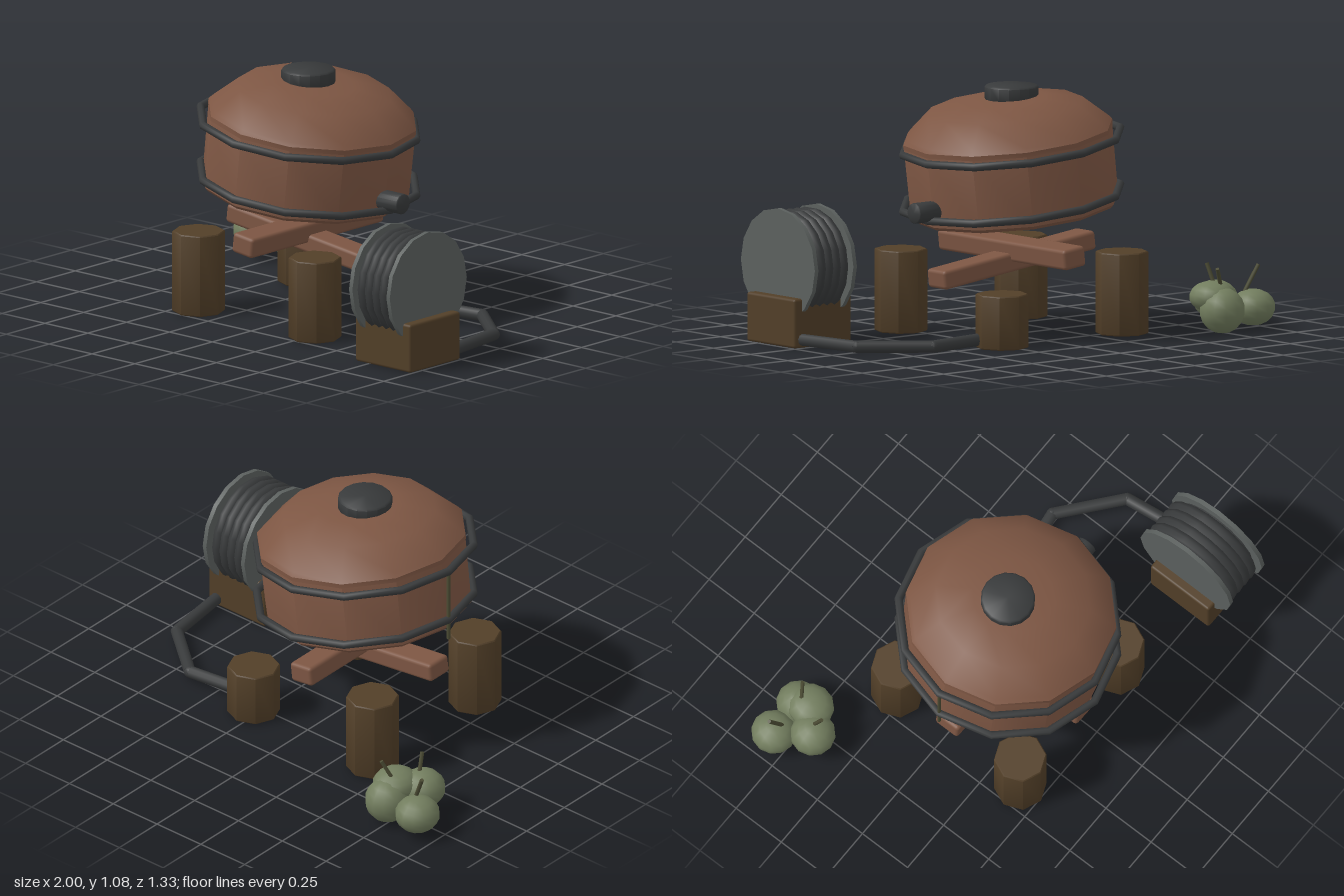
import * as THREE from 'three';
import { toCreasedNormals } from 'three/addons/utils/BufferGeometryUtils.js';
import { RoundedBoxGeometry } from 'three/addons/geometries/RoundedBoxGeometry.js';

export function createModel() {
  const model = new THREE.Group();
  const mat = (name, color) => Object.assign(new THREE.MeshStandardMaterial({ color }), { name });
  const copper = mat('copper', 0x7d5643), wood = mat('wood', 0x523f28), iron = mat('iron', 0x383a3b);
  const steel = mat('steel', 0x5c615f), green = mat('green', 0x727d5e), stem = mat('stem', 0x4c4c34);

  const tilt = -0.12, cx = -0.064, cz = 0.0575;

  function add(name, geo, material, x = 0, y = 0, z = 0, parent = model) {
    const m = new THREE.Mesh(geo, material);
    m.name = name;
    m.position.set(x, y, z);
    parent.add(m);
    return m;
  }
  // Turned solid from [radius, height] points
  const turned = (pts, sides, crease) =>
    toCreasedNormals(new THREE.LatheGeometry(pts.map(p => new THREE.Vector2(...p)), sides), crease);
  // Upright cylinder with small bevels, standing on y = 0
  const drum = (r, h, sides, b = 0.008) =>
    turned([[0, 0], [r - b, 0], [r, b], [r, h - b], [r - b, h], [0, h]], sides, 0.8);
  // Round bar between two points
  function bar(name, a, b, r, material, sides = 8) {
    const p = new THREE.Vector3(...a), q = new THREE.Vector3(...b), d = q.clone().sub(p);
    const m = add(name, new THREE.CylinderGeometry(r, r, d.length(), sides), material);
    m.position.copy(p).add(q).multiplyScalar(0.5);
    m.quaternion.setFromUnitVectors(new THREE.Vector3(0, 1, 0), d.normalize());
    return m;
  }

  // Leaning twelve-sided tank with domed lid
  const tank = new THREE.Group();
  tank.name = 'tank';
  tank.position.set(-0.083, 0.533, cz);
  tank.rotation.z = tilt;
  model.add(tank);
  add('tankBody', turned([[0, 0], [0.442, 0], [0.457, 0.015], [0.46, 0.325], [0.45, 0.34], [0, 0.34]], 12, 0.7),
    copper, 0, 0, 0, tank);
  add('tankLid', turned([[0.462, 0.325], [0.462, 0.345], [0.447, 0.362], [0.34, 0.46], [0.18, 0.493], [0, 0.503]], 12, 0.7),
    copper, 0, 0, 0, tank);

  // Hoops around the tank
  for (const y of [0.585, 0.832]) {
    const g = new THREE.TorusGeometry(0.48, 0.018, 8, 12).rotateX(Math.PI / 2);
    add('hoop', g, iron, cx, y, cz).rotation.z = tilt;
  }

  // Cap, outlet and sight rod
  add('lidCap', drum(0.118, 0.07, 16), iron, cx, 1.01, cz);
  add('outletPipe', drum(0.045, 0.14, 14, 0.004), iron, 0.35, 0.567, cz).rotation.z = -Math.PI / 2;
  bar('sightRod', [-0.54, 0.545, cz], [-0.54, 0.875, cz], 0.008, stem);

  // Stump legs, one of them cut short
  for (const sx of [-1, 1]) for (const sz of [-1, 1]) {
    const h = sx > 0 && sz < 0 ? 0.235 : 0.36;
    add('stumpLeg', drum(0.115, h, 8, 0.005), wood, -0.061 + sx * 0.339, 0, 0.055 + sz * 0.34);
  }

  // Crossed support beams
  add('longBeam', new RoundedBoxGeometry(0.86, 0.084, 0.125, 2, 0.016), copper, cx, 0.318, cz).rotation.z = tilt;
  add('crossBeam', new RoundedBoxGeometry(0.12, 0.09, 0.86, 2, 0.016), copper, cx, 0.367, cz).rotation.z = tilt;

  // Reel base, side discs and coiled hose
  const rx = 0.838, ry = 0.345, rz = 0.415;
  add('reelBase', new RoundedBoxGeometry(0.322, 0.215, 0.325, 2, 0.012), wood, rx, 0.108, rz);
  for (const s of [-1, 1]) {
    const g = toCreasedNormals(new THREE.CylinderGeometry(0.249, 0.249, 0.02, 16), 0.6);
    add('reelDisc', g.rotateZ(Math.PI / 2), steel, rx + s * 0.109, ry, rz);
  }
  add('reelCore', new THREE.CylinderGeometry(0.2, 0.2, 0.2, 16).rotateZ(Math.PI / 2), iron, rx, ry, rz);
  for (let i = 0; i < 4; i++) {
    const g = new THREE.TorusGeometry(0.211, 0.028, 8, 18).rotateY(Math.PI / 2);
    add('hoseCoil', g, iron, 0.773 + i * 0.042, ry, rz);
  }

  // Hose lying on the ground
  const path = [[0.3, 0.036, -0.222], [0.655, 0.036, -0.27], [0.91, 0.036, -0.06], [0.953, 0.036, 0.26]];
  path.forEach((p, i) => {
    if (i) bar('groundHose', path[i - 1], p, 0.027, iron, 10);
    if (i === 1 || i === 2) add('hoseBend', new THREE.SphereGeometry(0.027, 10, 8), iron, ...p);
  });

  // Pile of fruit: position, then radii
  for (const [x, y, z, a, b, c] of [
    [-0.902, 0.1, -0.57, 0.098, 0.08, 0.1],
    [-0.73, 0.1, -0.568, 0.1, 0.1, 0.1],
    [-0.724, 0.155, -0.507, 0.1, 0.068, 0.105],
    [-0.81, 0.128, -0.427, 0.1, 0.084, 0.1],
  ]) add('fruit', new THREE.SphereGeometry(1, 12, 9).scale(a, b, c), green, x, y, z);
  bar('fruitStem', [-0.87, 0.16, -0.545], [-0.93, 0.285, -0.573], 0.009, stem, 6);
  bar('fruitStem', [-0.745, 0.19, -0.543], [-0.698, 0.285, -0.573], 0.009, stem, 6);
  bar('fruitStem', [-0.797, 0.18, -0.44], [-0.783, 0.285, -0.4], 0.009, stem, 6);

  return model;
}
